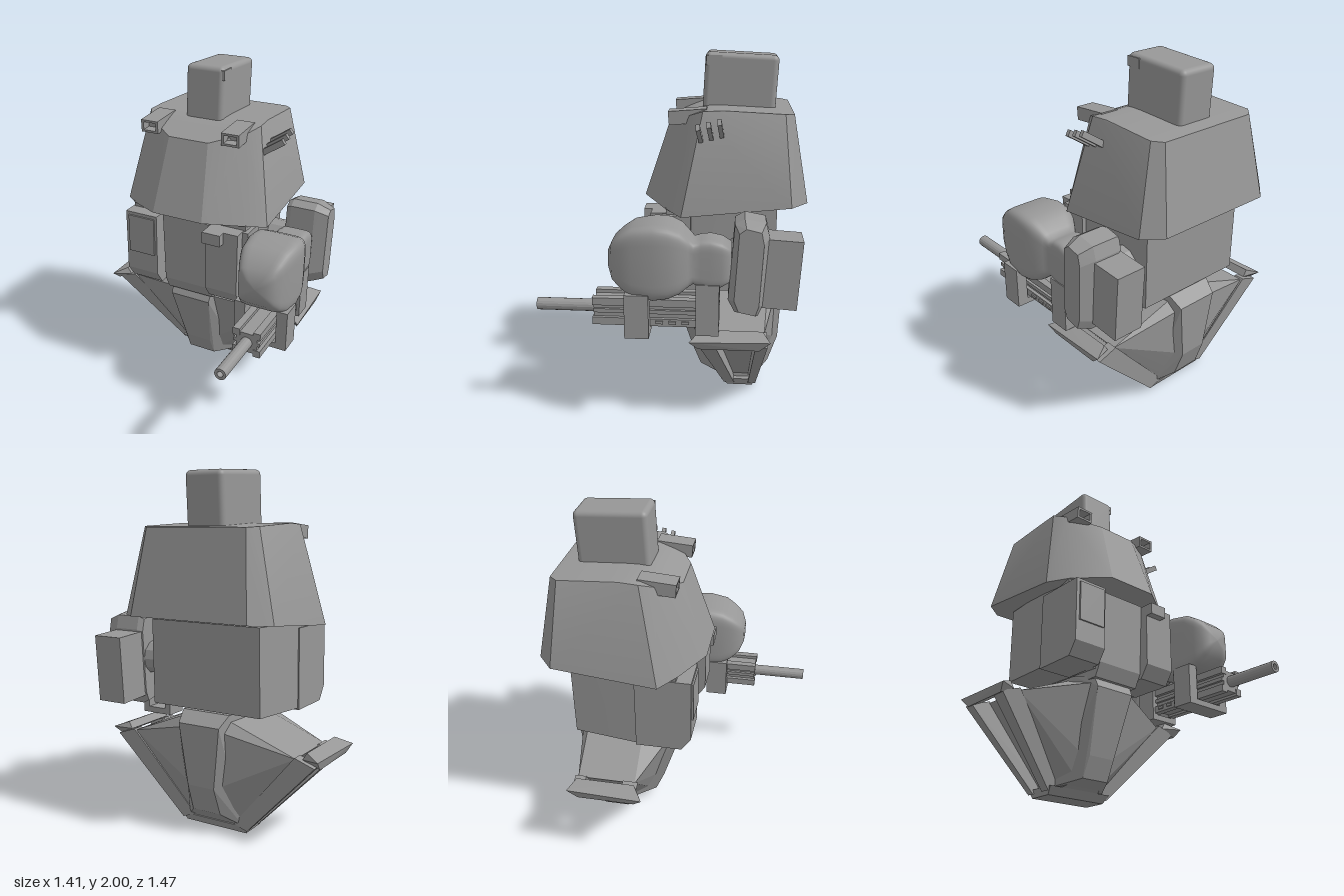
import * as THREE from 'three';
import { ConvexGeometry } from 'three/addons/geometries/ConvexGeometry.js';
import { RoundedBoxGeometry } from 'three/addons/geometries/RoundedBoxGeometry.js';
import { toCreasedNormals } from 'three/addons/utils/BufferGeometryUtils.js';

const CX = -0.03; // symmetry line of the body
const ARM = 0.537; // centre line of the side weapon
const GREY = 0x979797;
const flat = new THREE.MeshStandardMaterial({ color: GREY, flatShading: true });
const smooth = new THREE.MeshStandardMaterial({ color: GREY });

export function createModel() {
  const root = new THREE.Group();
  const add = (name, geo, mat = flat) => {
    const m = new THREE.Mesh(geo, mat);
    m.name = name;
    root.add(m);
    return m;
  };
  // box given by its limits on each axis
  const box = (name, x0, x1, y0, y1, z0, z1) => {
    const m = add(name, new THREE.BoxGeometry(x1 - x0, y1 - y0, z1 - z0));
    m.position.set((x0 + x1) / 2, (y0 + y1) / 2, (z0 + z1) / 2);
    return m;
  };
  // faceted solid whose shallow edges are softened
  const hull = (name, pts, crease = 0.1) => add(name,
    toCreasedNormals(new ConvexGeometry(pts.map(p => new THREE.Vector3(...p))), crease), smooth);
  // faceted solid mirrored about the body's centre line
  const mirrorHull = (name, half, crease) =>
    hull(name, half.flatMap(([x, y, z]) => [[CX + x, y, z], [CX - x, y, z]]), crease);
  // box with chamfered ends, from outlines stacked along y
  const stack = (name, rings) => hull(name, rings.flatMap(([y, x0, x1, z0, z1]) =>
    [[x0, y, z0], [x1, y, z0], [x0, y, z1], [x1, y, z1]]));

  // Head
  const head = add('head', new RoundedBoxGeometry(0.24, 0.33, 0.41, 4, 0.03), smooth);
  head.position.set(CX, 1.824, -0.358);
  head.rotation.x = -0.05;
  box('headSensor', 0.06, 0.093, 1.925, 1.98, -0.255, -0.165);

  // Chest
  mirrorHull('chest', [
    [0.16, 1.19, 0.177], [0.365, 1.165, 0.05], [0.47, 1.14, -0.05], [0.47, 1.205, -0.645], [0.365, 1.21, -0.735],
    [0.125, 1.62, 0.035], [0.31, 1.67, -0.08], [0.36, 1.7, -0.16], [0.36, 1.69, -0.6], [0.31, 1.685, -0.65],
    [0.2, 1.705, -0.2], [0.355, 1.705, -0.27]
  ], 0.45);

  // Hollow lamps on the front of the chest
  const lampShape = new THREE.Shape();
  lampShape.moveTo(-0.055, -0.037).lineTo(0.055, -0.037).lineTo(0.055, 0.037).lineTo(-0.055, 0.037).closePath();
  const hole = new THREE.Path();
  hole.moveTo(-0.04, -0.024).lineTo(-0.04, 0.024).lineTo(0.04, 0.024).lineTo(0.04, -0.024).closePath();
  lampShape.holes.push(hole);
  for (const s of [-1, 1]) {
    const x = CX + s * 0.258;
    const lamp = add('lamp', new THREE.ExtrudeGeometry(lampShape, { depth: 0.21, bevelEnabled: false }));
    lamp.position.set(x, 1.672, -0.18);
    lamp.rotation.x = 0.08;
    box('lampBack', x - 0.04, x + 0.04, 1.635, 1.68, -0.1, -0.03);
  }

  // Fins at the left shoulder
  for (let i = 0; i < 3; i++) {
    const fin = add('shoulderFin', new THREE.BoxGeometry(0.18, 0.035, 0.023));
    fin.position.set(0.405, 1.588 + i * 0.014, -0.147 - i * 0.056);
    fin.rotation.set(0.12, 0, 0.6);
  }

  // Waist
  mirrorHull('waist', [
    [0.345, 1.18, -0.575], [0.345, 0.7, -0.57], [0.375, 1.17, -0.2], [0.375, 0.68, -0.2],
    [0.375, 1.17, 0.04], [0.37, 0.67, 0.02]
  ]);
  stack('waistCentre', [[1.14, -0.18, 0.13, -0.5, 0.08], [0.7, -0.18, 0.13, -0.5, 0.06], [0.62, -0.18, 0.13, -0.5, 0.02]]);
  for (const [x0, x1] of [[-0.412, -0.2], [0.13, 0.335]])
    stack('waistPod', [[1.135, x0, x1, -0.2, 0.125], [0.75, x0, x1, -0.2, 0.125], [0.67, x0, x1, -0.2, 0.07]]);
  box('waistPanel', -0.39, -0.215, 0.875, 1.115, 0.1, 0.135);
  box('waistBump', 0.13, 0.245, 1.065, 1.135, 0.1, 0.172);
  box('waistSideStep', 0.2, 0.37, 0.73, 1.13, -0.1, 0.06);

  // Pelvis: recessed side panels around a raised central keel
  mirrorHull('pelvis', [
    [0.13, 0.6, -0.02], [0.085, 0.2, -0.14], [0.09, 0.08, -0.2],
    [0.17, 0.65, -0.2], [0.13, 0.66, -0.55], [0.12, 0.6, -0.6], [0.09, 0.28, -0.59], [0.1, 0.1, -0.52],
    [0.15, 0.03, -0.32], [0.15, 0.03, -0.47], [0.53, 0.5, -0.18], [0.53, 0.5, -0.52]
  ]);
  mirrorHull('pelvisKeel', [
    [0.135, 0.64, -0.01], [0.13, 0.57, 0.02], [0.085, 0.2, -0.098], [0.09, 0.08, -0.15], [0.18, 0.045, -0.31],
    [0.18, 0.66, -0.15], [0.15, 0.69, -0.56], [0.13, 0.63, -0.635], [0.085, 0.28, -0.62], [0.09, 0.12, -0.565],
    [0.18, 0.04, -0.47]
  ]);
  stack('pelvisSole', [[0.045, -0.245, 0.185, -0.49, -0.28], [0, -0.23, 0.17, -0.47, -0.32]]);
  // leg opening: two rails and a cap on each side
  const rails = [[-0.16, -0.25, -0.3, -0.36], [-0.47, -0.535, -0.445, -0.49]];
  for (const s of [-1, 1]) {
    for (const [t0, t1, b0, b1] of rails)
      hull('legOpeningRail', [[0.645, 0.47], [0.53, 0.51]].flatMap(([x, y]) =>
        [[CX + s * x, y, t0], [CX + s * x, y, t1]]).concat([[0.215, 0.02], [0.13, 0.05]].flatMap(([x, y]) =>
        [[CX + s * x, y, b0], [CX + s * x, y, b1]])));
    hull('hipCap', [
      [0.59, 0.54, -0.17], [0.59, 0.54, -0.51], [0.675, 0.5, -0.11], [0.67, 0.51, -0.55],
      [0.655, 0.455, -0.16], [0.655, 0.455, -0.49], [0.565, 0.5, -0.17], [0.565, 0.5, -0.51]
    ].map(([x, y, z]) => [CX + s * x, y, z]));
  }

  // Weapon pod: squarish sections along z as [z, half width, bottom, top]
  const sections = [
    [0.33, 0.001, 0.95, 0.951], [0.325, 0.06, 0.9, 1.0], [0.3, 0.11, 0.84, 1.055], [0.25, 0.132, 0.79, 1.1],
    [0.19, 0.152, 0.755, 1.138], [0.08, 0.164, 0.738, 1.156], [0, 0.159, 0.75, 1.15], [-0.06, 0.142, 0.775, 1.125],
    [-0.105, 0.115, 0.81, 1.08], [-0.13, 0.1, 0.825, 1.055], [-0.17, 0.1, 0.81, 1.068], [-0.22, 0.1, 0.8, 1.073],
    [-0.28, 0.1, 0.81, 1.06], [-0.33, 0.085, 0.84, 1.03], [-0.331, 0.001, 0.93, 0.931]
  ];
  const N = 40, pos = [], idx = [];
  const sq = v => Math.sign(v) * Math.abs(v) ** 0.33;
  sections.forEach(([z, w, y0, y1], r) => {
    for (let i = 0; i < N; i++) {
      const a = i / N * Math.PI * 2;
      pos.push(ARM + w * sq(Math.cos(a)), (y0 + y1) / 2 + (y1 - y0) / 2 * sq(Math.sin(a)), z);
      if (r === sections.length - 1) continue;
      const f0 = r * N + i, f1 = r * N + (i + 1) % N;
      idx.push(f0, f0 + N, f1, f1, f0 + N, f1 + N);
    }
  });
  const pod = new THREE.BufferGeometry();
  pod.setAttribute('position', new THREE.Float32BufferAttribute(pos, 3));
  pod.setIndex(idx);
  pod.computeVertexNormals();
  add('weaponPod', pod, smooth);

  // U-shaped brackets holding the gun
  for (const [z0, z1, x0, x1, top] of [[0.1, 0.23, 0.376, 0.7, 0.785], [-0.27, -0.145, 0.437, 0.637, 0.83]]) {
    const t = (x1 - x0) * 0.2;
    box('bracketInner', x0, x0 + t, 0.54, top, z0, z1);
    box('bracketOuter', x1 - t, x1, 0.54, top, z0, z1);
    box('bracketBase', x0, x1, 0.54, 0.575, z0, z1);
  }

  // Gun: core, corner rails, vents, barrel
  box('gunCore', 0.475, 0.6, 0.595, 0.715, -0.15, 0.41);
  for (const sx of [-1, 1]) {
    for (const sy of [-1, 1]) {
      const x = ARM + sx * 0.062, y = 0.657 + sy * 0.056;
      box('gunRail', x - 0.021, x + 0.021, y - 0.021, y + 0.021, -0.15, 0.415);
    }
    const x = ARM + sx * 0.066;
    box('gunSideRib', x - 0.012, x + 0.012, 0.648, 0.67, -0.15, 0.41);
    for (let i = 0; i < 3; i++)
      box('gunVent', ARM + sx * 0.085 - 0.006, ARM + sx * 0.085 + 0.006, 0.596, 0.612, -0.11 + i * 0.07, -0.07 + i * 0.07);
  }
  const barrel = add('barrel', new THREE.LatheGeometry([
    [0, 0], [0.034, 0], [0.034, 0.345], [0.017, 0.345], [0.017, 0.28], [0, 0.28]
  ].map(p => new THREE.Vector2(...p)), 16));
  barrel.rotation.x = Math.PI / 2;
  barrel.position.set(ARM, 0.657, 0.39);

  // Rear power pack: a many-sided side profile with chamfered faces, joined to the waist by an axle
  const profile = [
    [1.165, -0.345], [1.195, -0.395], [1.175, -0.505], [1.1, -0.525],
    [0.72, -0.5], [0.66, -0.475], [0.68, -0.35], [0.75, -0.315]
  ];
  hull('packBody', [[0.44, 0.85], [0.47, 1], [0.62, 1], [0.7, 0.7]].flatMap(([x, k]) =>
    profile.map(([y, z]) => [x, 0.93 + (y - 0.93) * (0.6 + 0.4 * k), -0.425 + (z + 0.425) * k])));
  const pack = box('packRear', 0.447, 0.627, 0.705, 1.085, -0.69, -0.47);
  pack.rotation.x = -0.06;
  const axle = add('armAxle', new THREE.CylinderGeometry(0.1, 0.1, 0.2, 12));
  axle.rotation.z = Math.PI / 2;
  axle.position.set(0.4, 0.93, -0.4);

  return root;
}
